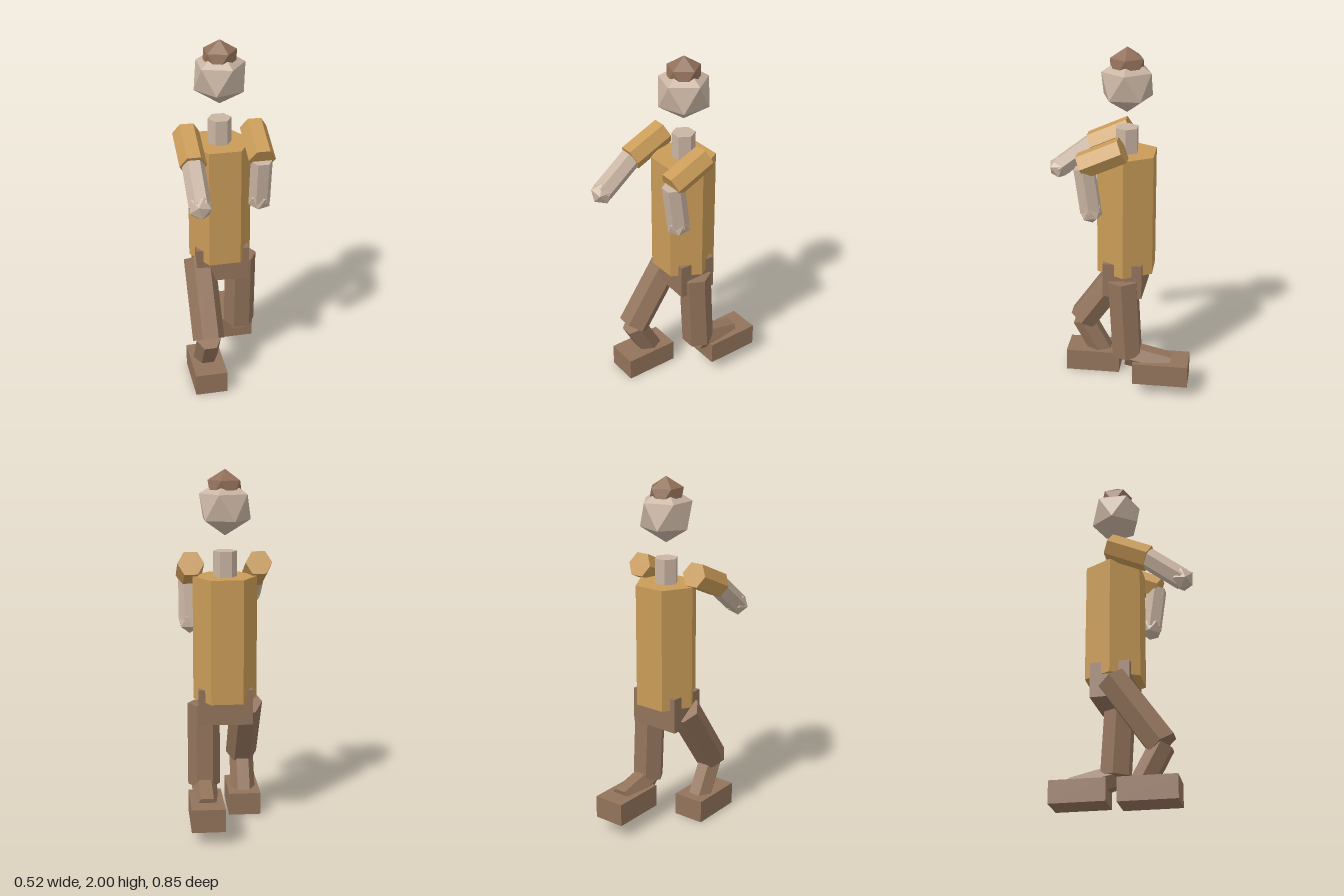
import * as THREE from 'three';

const mat = (name, color) => {
  const m = new THREE.MeshStandardMaterial({ color });
  m.name = name;
  return m;
};

// Faceted copy of a geometry
const facet = (g) => {
  const f = g.index ? g.toNonIndexed() : g;
  f.computeVertexNormals();
  return f;
};

// Hexagonal prism along y with corners at +x and -x
const hexPrism = (r, h) => facet(new THREE.CylinderGeometry(r, r, h, 6).rotateY(Math.PI / 2));

// Icosahedron standing on one corner
const gem = (r) => facet(new THREE.IcosahedronGeometry(r, 0).rotateZ(-Math.atan(2 / (1 + Math.sqrt(5)))));

export function createModel() {
  const model = new THREE.Group();
  const shirt = mat('ochre shirt', 0xc99b58);
  const trousers = mat('brown trousers', 0x92735b);
  const skin = mat('pale skin', 0xc9b4a2);
  const hairBrown = mat('brown hair', 0x92705a);

  const add = (name, geometry, material, x, y, z) => {
    const mesh = new THREE.Mesh(geometry, material);
    mesh.name = name;
    mesh.position.set(x, y, z);
    model.add(mesh);
    return mesh;
  };

  // Limb segment at x, running between two [y, z] points
  const limb = (name, r, x, [y0, z0], [y1, z1], material) => {
    const mesh = add(name, hexPrism(r, Math.hypot(y1 - y0, z1 - z0)), material, x, (y0 + y1) / 2, (z0 + z1) / 2);
    mesh.rotation.x = Math.atan2(z0 - z1, y0 - y1);
    return mesh;
  };

  // Body and head
  add('torso', hexPrism(0.178, 0.69), shirt, 0, 1.075, -0.05);
  add('neck', hexPrism(0.066, 0.16), skin, 0, 1.48, -0.05);
  add('head', gem(0.157), skin, 0, 1.8, -0.05);
  add('hair', gem(0.105), hairBrown, 0, 1.895, -0.05);
  const pelvis = add('pelvis', new THREE.BoxGeometry(0.3, 0.2, 0.22), trousers, 0, 0.7, -0.048);
  pelvis.rotation.y = -0.04;

  // Arms: shoulder, elbow and wrist as [y, z]
  const arms = [
    { side: 'left', sign: 1, elbow: [1.385, 0.157], wrist: [1.135, 0.123] },
    { side: 'right', sign: -1, elbow: [1.395, 0.165], wrist: [1.242, 0.36] },
  ];
  for (const { side, sign, elbow, wrist } of arms) {
    const x = sign * 0.187;
    limb(side + 'UpperArm', 0.074, x, [1.492, -0.05], [1.392, 0.172], shirt);
    const forearm = limb(side + 'Forearm', 0.061, x, elbow, wrist, skin);
    add(side + 'Hand', gem(0.068), skin, x, ...wrist).rotation.x = forearm.rotation.x;
  }

  // Legs in mid stride: knee and ankle as [y, z]
  const legs = [
    { side: 'left', sign: 1, knee: [0.23, -0.071], ankle: [0.173, -0.314], foot: [0.143, -0.268] },
    { side: 'right', sign: -1, knee: [0.315, 0.225], ankle: [0.094, 0.107], foot: [0.065, 0.157] },
  ];
  for (const { side, sign, knee, ankle, foot } of legs) {
    const x = sign * 0.121;
    limb(side + 'Thigh', 0.091, x, [0.7, -0.045], knee, trousers);
    limb(side + 'Shin', 0.071, x, knee, ankle, trousers);
    add(side + 'Foot', new THREE.BoxGeometry(0.184, 0.13, 0.316), trousers, x, ...foot);
  }

  return model;
}
